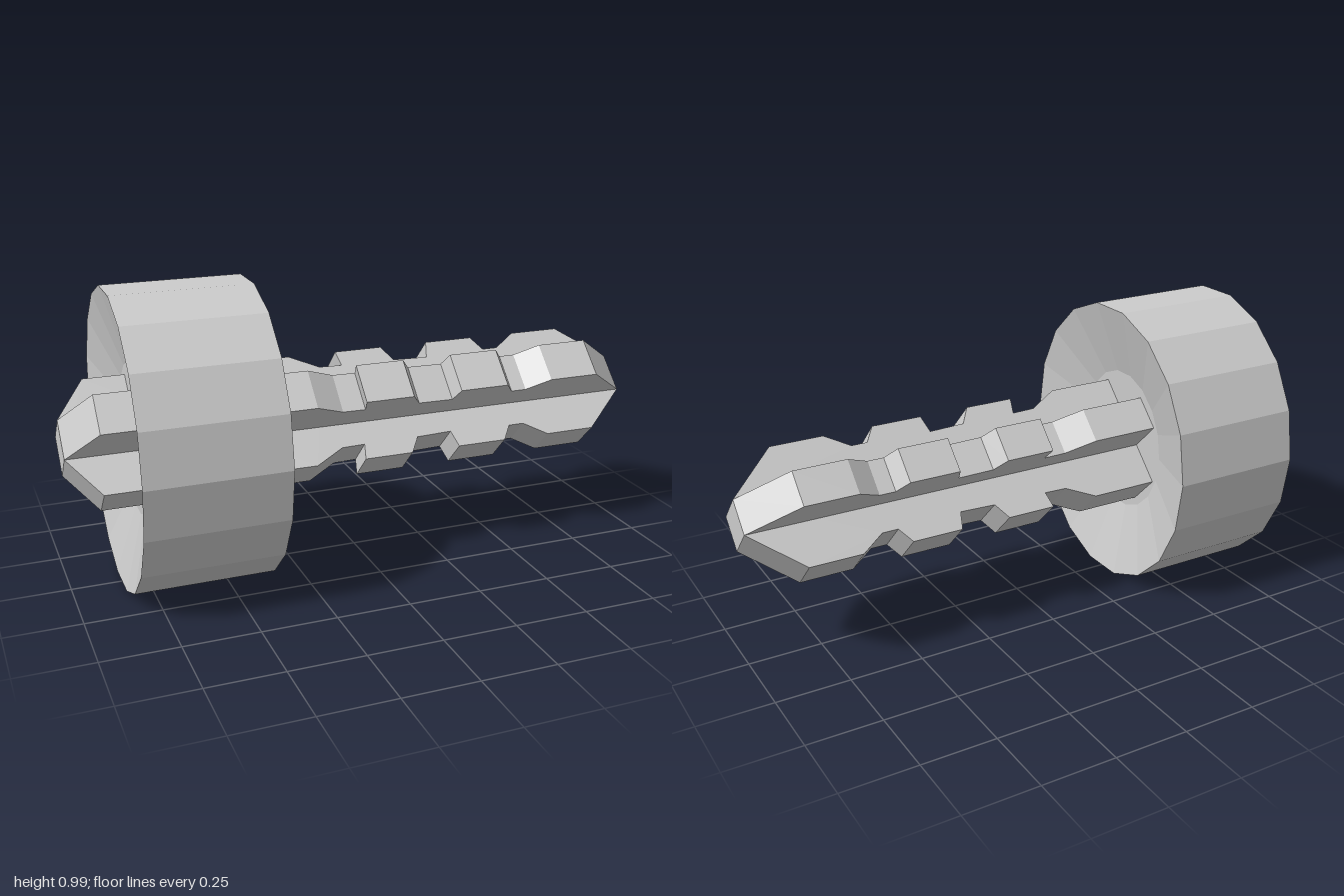
import * as THREE from 'three';

const material = new THREE.MeshStandardMaterial({ color: 0xcccccc, flatShading: true });

// Fin outline along the shaft: [x, distance from the axis], without the tapered ends
const FIN = [
  [-0.9, 0.207], [-0.2, 0.207], [-0.1, 0.155], [-0.02, 0.153], [-0.03, 0.207],
  [0.14, 0.207], [0.175, 0.152], [0.3, 0.148], [0.315, 0.207], [0.49, 0.207],
  [0.525, 0.155], [0.58, 0.155], [0.66, 0.207], [0.84, 0.207],
];

// A pair of opposite notched fins, cut from one flat plate through the axis
function finPair(name, angle, halfThickness, endRadius) {
  const upper = [[-1, endRadius], ...FIN, [1, endRadius]];
  const lower = upper.map(([x, r]) => [x, -r]).reverse();
  const shape = new THREE.Shape([...upper, ...lower].map(([x, r]) => new THREE.Vector2(x, r)));
  const geometry = new THREE.ExtrudeGeometry(shape, { depth: 2 * halfThickness, bevelEnabled: false });
  geometry.translate(0, 0, -halfThickness);
  geometry.rotateX(angle);
  const mesh = new THREE.Mesh(geometry, material);
  mesh.name = name;
  return mesh;
}

// Eighteen-sided wheel, dished on both faces, slightly narrower in z than in y
function wheel() {
  const half = 0.232, dish = 0.07;
  const profile = [
    [0, dish - half], [0.5, dish - half], [1, -half],
    [1, half], [0.5, half - dish], [0, half - dish],
  ].map(([r, y]) => new THREE.Vector2(r, y));
  const geometry = new THREE.LatheGeometry(profile, 18);
  geometry.rotateZ(-Math.PI / 2);
  geometry.scale(1, 0.504, 0.455);
  const mesh = new THREE.Mesh(geometry, material);
  mesh.name = 'wheel';
  mesh.position.x = -0.6;
  return mesh;
}

export function createModel() {
  const model = new THREE.Group();
  model.name = 'notchedPegWithWheel';

  const shaft = new THREE.Group();
  shaft.name = 'crossShaft';
  shaft.add(
    finPair('thickFins', Math.PI / 4, 0.07, 0.06),
    finPair('thinFins', -Math.PI / 4, 0.06, 0.07),
  );

  const assembly = new THREE.Group();
  assembly.name = 'assembly';
  assembly.position.y = 0.497;
  assembly.add(shaft, wheel());
  model.add(assembly);
  return model;
}
